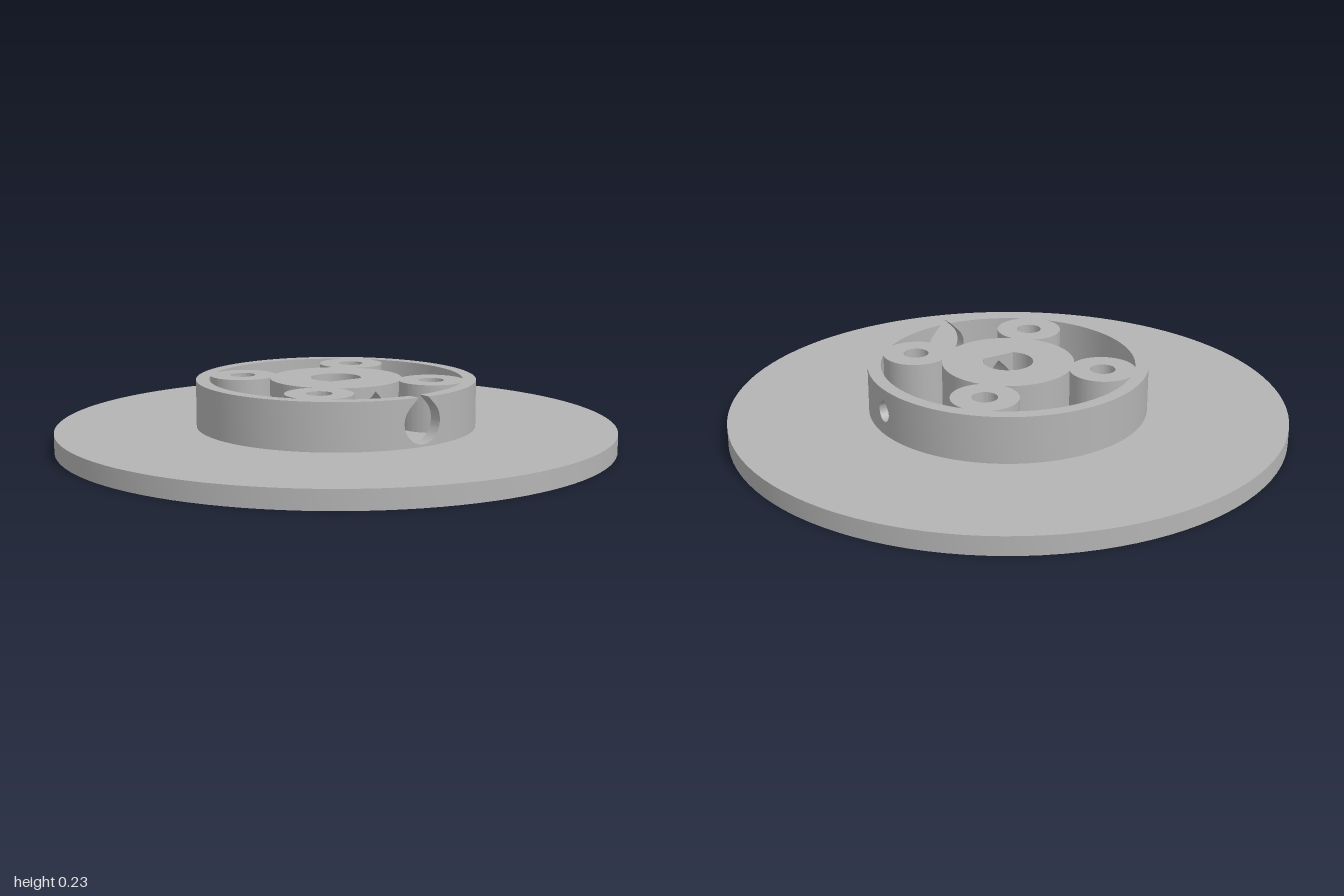
import * as THREE from 'three';
import { toCreasedNormals } from 'three/addons/utils/BufferGeometryUtils.js';

const PLATE_TOP = 0.067, TOP = 0.235;          // heights
const R_OUT = 0.5, R_IN = 0.453, R_HUB = 0.236; // ring and hub radii
const BOSS = 0.242, R_BOSS = 0.118, R_SCREW = 0.045;
const R_BORE = 0.09, FLAT = 0.065;              // D-shaped bore
const HOLE_Y = 0.15, R_WIDE = 0.075, R_SMALL = 0.047, R_BACK = 0.034;

const polar = (r, a, cx = 0, cy = 0) => new THREE.Vector2(cx + r * Math.cos(a), cy + r * Math.sin(a));
function arc(r, a0, a1, cx = 0, cy = 0) {
  const n = Math.max(2, Math.ceil(Math.abs(a1 - a0) / 0.06));
  return Array.from({ length: n + 1 }, (_, i) => polar(r, a0 + (a1 - a0) * i / n, cx, cy));
}
const turn = (pts, a) => pts.map(p => p.clone().rotateAround(new THREE.Vector2(), a));
const mirror = pts => pts.map(p => new THREE.Vector2(p.x, -p.y)).reverse();

// Half a pocket outline beside the +x axis: ring wall, boss, hub wall
function halfPocket(ringGap, hubGap) {
  const d = BOSS * Math.SQRT2;
  const meet = r => Math.PI / 4 - Math.acos((d * d + r * r - R_BOSS * R_BOSS) / (2 * d * r));
  const a = meet(R_IN), b = meet(R_HUB);
  const bossAngle = (r, t) => Math.atan2(r * Math.sin(t) - BOSS, r * Math.cos(t) - BOSS);
  return [
    ...arc(R_IN, Math.asin(ringGap / R_IN), a),
    ...arc(R_BOSS, bossAngle(R_IN, a), bossAngle(R_HUB, b), BOSS, BOSS).slice(1),
    ...arc(R_HUB, b, Math.asin(hubGap / R_HUB)).slice(1),
  ];
}

// Bore outline, clockwise, starting and ending on the flat
function boreOutline() {
  const t = Math.acos(FLAT / R_BORE);
  return arc(R_BORE, -t, -2 * Math.PI + t);
}

function extrudeUp(shape, y0, y1) {
  const geo = new THREE.ExtrudeGeometry(shape, { depth: y1 - y0, bevelEnabled: false, curveSegments: 40 });
  geo.rotateX(-Math.PI / 2).translate(0, y0, 0);
  return toCreasedNormals(geo, 0.5);
}

// Wall section around a teardrop cross hole that runs along x
function teardropWall(r, inner, outer) {
  const upper = z => Math.min(TOP, HOLE_Y + (Math.abs(z) > r * Math.SQRT1_2
    ? Math.sqrt(Math.max(0, r * r - z * z)) : r * Math.SQRT2 - Math.abs(z)));
  const lower = z => HOLE_Y - Math.sqrt(Math.max(0, r * r - z * z));
  const zs = Array.from({ length: 41 }, (_, i) => -r * Math.cos(Math.PI * i / 40));
  const open = HOLE_Y + r * Math.SQRT2 - TOP;   // half-width where the hole breaks the top
  if (open > 0) zs.push(-open, open);
  zs.sort((a, b) => a - b);

  const pos = [];
  const strip = (lo, hi) => {
    const section = z => [[inner(z), lo(z), z], [outer(z), lo(z), z], [outer(z), hi(z), z], [inner(z), hi(z), z]];
    for (let i = 0; i < zs.length - 1; i++) {
      const [z0, z1] = [zs[i], zs[i + 1]];
      if (hi(z0) - lo(z0) < 1e-6 && hi(z1) - lo(z1) < 1e-6) continue;
      const s0 = section(z0), s1 = section(z1);
      for (let k = 0; k < 4; k++) {
        const m = (k + 1) % 4;
        pos.push(...s0[k], ...s0[m], ...s1[m], ...s0[k], ...s1[m], ...s1[k]);
      }
    }
  };
  strip(() => PLATE_TOP, lower);
  strip(upper, () => TOP);
  const geo = new THREE.BufferGeometry();
  geo.setAttribute('position', new THREE.Float32BufferAttribute(pos, 3));
  return toCreasedNormals(geo, 0.5);
}

export function createModel() {
  const model = new THREE.Group();
  model.name = 'flangedHub';
  const grey = new THREE.MeshStandardMaterial({ color: 0xb4b4b4 });
  grey.name = 'grey';
  const add = (name, geo) => {
    const mesh = new THREE.Mesh(geo, grey);
    mesh.name = name;
    model.add(mesh);
    return mesh;
  };

  // Base plate with the D bore
  const plate = new THREE.Shape(arc(1, 0, 2 * Math.PI).slice(0, -1));
  plate.holes.push(new THREE.Path(boreOutline()));
  add('basePlate', extrudeUp(plate, 0, PLATE_TOP));

  // Ring, bosses and hub in one outline, left open where the cross holes pass
  const east = halfPocket(R_WIDE, R_SMALL), north = halfPocket(R_BACK, 0);
  const gapE = Math.asin(R_WIDE / R_OUT), gapN = Math.asin(R_BACK / R_OUT);
  const body = new THREE.Shape([
    ...arc(R_OUT, gapE, Math.PI / 2 - gapN),
    ...turn([...mirror(north).reverse(), ...north.slice(0, -1).reverse()], Math.PI / 2),
    ...arc(R_OUT, Math.PI / 2 + gapN, 2 * Math.PI - gapE),
    ...mirror(east).reverse(),
    new THREE.Vector2(FLAT, -R_SMALL),
    ...boreOutline(),
    new THREE.Vector2(FLAT, R_SMALL),
    ...[...east].reverse(),
  ]);
  const closed = halfPocket(0, 0);
  const pocket = [...closed, ...mirror(closed).slice(1, -1)];
  for (const a of [Math.PI, 1.5 * Math.PI]) body.holes.push(new THREE.Path(turn(pocket, a)));
  for (const sx of [-1, 1]) for (const sy of [-1, 1])
    body.holes.push(new THREE.Path(arc(R_SCREW, 0, 2 * Math.PI, sx * BOSS, sy * BOSS).slice(0, -1)));
  add('ringBossesAndHub', extrudeUp(body, PLATE_TOP, TOP));

  // Wall sections with the cross holes
  const round = r => z => Math.sqrt(r * r - z * z);
  add('sideHoleWall', teardropWall(R_WIDE, round(R_IN), round(R_OUT)));
  add('hubHoleWall', teardropWall(R_SMALL, () => FLAT, round(R_HUB)));
  add('backHoleWall', teardropWall(R_BACK, round(R_IN), round(R_OUT))).rotation.y = Math.PI / 2;

  return model;
}
